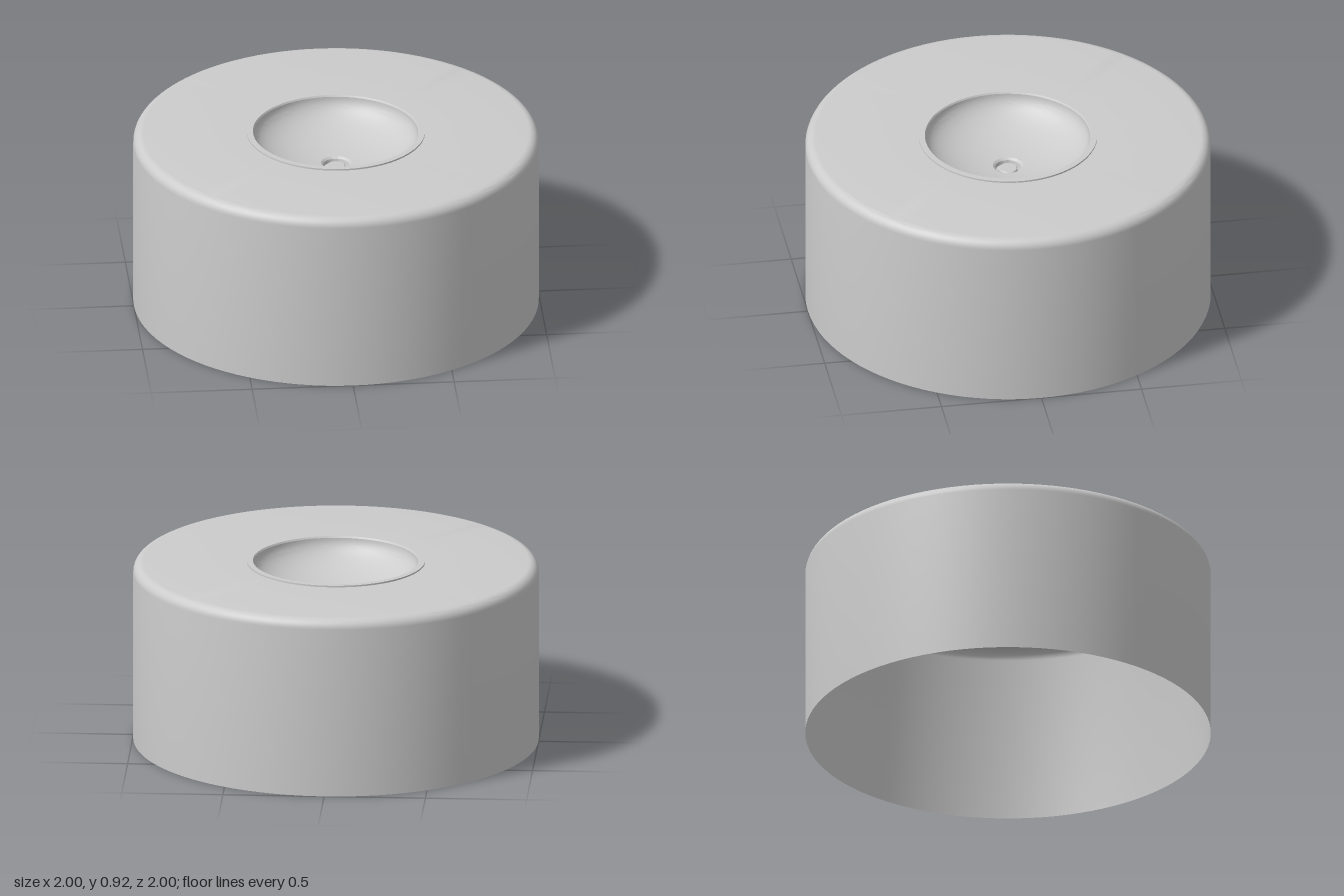
import * as THREE from 'three';
import { toCreasedNormals } from 'three/addons/utils/BufferGeometryUtils.js';

const material = new THREE.MeshStandardMaterial({ color: 0xcccccc, side: THREE.DoubleSide });

// Points of an elliptical arc in the profile plane (radius, height)
function arc(cx, cy, rx, ry, from, to, steps) {
  const points = [];
  for (let i = 0; i <= steps; i++) {
    const a = from + (to - from) * i / steps;
    points.push([cx + rx * Math.cos(a), cy + ry * Math.sin(a)]);
  }
  return points;
}

// Revolve a profile, running from the outside up, over and inward
function turned(name, profile, segments = 96) {
  const points = profile.map(([r, y]) => new THREE.Vector2(Math.max(r, 0), y));
  const geometry = toCreasedNormals(new THREE.LatheGeometry(points, segments), 0.6);
  const mesh = new THREE.Mesh(geometry, material);
  mesh.name = name;
  return mesh;
}

export function createModel() {
  const group = new THREE.Group();
  group.name = 'roundBasin';
  const top = 0.908;

  // Hollow drum, open below, with a rounded upper edge
  group.add(turned('drum', [
    [1, 0],
    ...arc(0.95, top - 0.05, 0.05, 0.05, 0, Math.PI / 2, 8),
    [0.43, top],
  ]));

  // Thin raised ring around the bowl
  group.add(turned('bowlRim', [
    [0.44, top - 0.003], [0.44, top + 0.008], [0.41, top + 0.008], [0.405, top],
  ]));

  // Shallow bowl, ending at the drain hole
  const drainAngle = Math.acos(0.075 / 0.405);
  group.add(turned('bowl', arc(0, top, 0.405, 0.168, 0, -drainAngle, 24)));

  // Drain: rolled lip, short throat and a floor
  const lip = top - 0.168 * Math.sin(drainAngle);
  group.add(turned('drain', [
    [0.075, lip], [0.07, lip - 0.003], [0.063, lip - 0.01], [0.06, lip - 0.028], [0, lip - 0.028],
  ], 48));

  // Round plug in the drain
  group.add(turned('drainPlug', [
    [0.047, lip - 0.028], [0.047, lip - 0.018], [0.043, lip - 0.014], [0, lip - 0.014],
  ], 48));

  return group;
}
